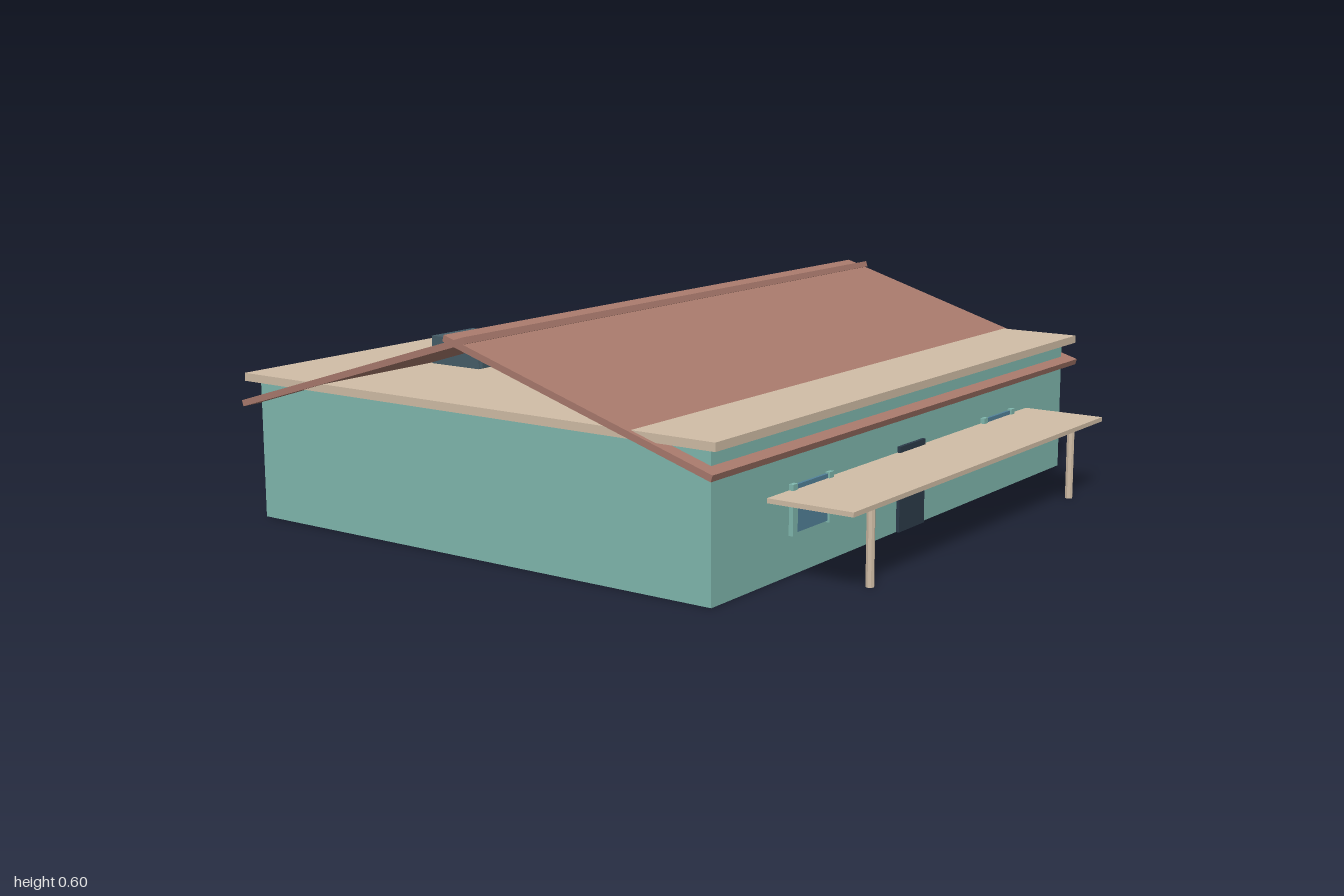
import * as THREE from 'three';

const mat = (color) => new THREE.MeshStandardMaterial({ color, flatShading: true });

export function createModel() {
  const house = new THREE.Group();
  house.name = 'house';

  const wall = mat(0x80b8ae), cream = mat(0xd0bda6), tile = mat(0xa8796c);
  const dark = mat(0x2c3b4a), glass = mat(0x53829a), metal = mat(0x465d68);

  const add = (name, geometry, material, x, y, z) => {
    const mesh = new THREE.Mesh(geometry, material);
    mesh.name = name;
    mesh.position.set(x, y, z);
    house.add(mesh);
    return mesh;
  };
  // Box given by its lower and upper limits on each axis
  const box = (name, material, [x0, x1], [y0, y1], [z0, z1]) =>
    add(name, new THREE.BoxGeometry(x1 - x0, y1 - y0, z1 - z0), material,
      (x0 + x1) / 2, (y0 + y1) / 2, (z0 + z1) / 2);

  // Body and ceiling slab
  box('walls', wall, [-0.89, 0.672], [0, 0.396], [-0.957, 0.957]);
  box('ceilingSlab', cream, [-0.922, 0.705], [0.396, 0.419], [-0.987, 0.987]);

  // Two sloping roof panels that cross at the ridge
  for (const s of [-1, 1]) {
    const panel = add(s < 0 ? 'roofPanelRight' : 'roofPanelLeft',
      new THREE.BoxGeometry(0.888, 0.018, 2), tile, -0.109 + s * 0.388, 0.4625, 0);
    panel.rotation.z = -s * 0.295;
  }

  // Door
  box('door', dark, [0.67, 0.682], [0, 0.243], [-0.07, 0.07]);

  // Windows with a shutter on each side, and porch posts
  for (const s of [-1, 1]) {
    const z = s * 0.518;
    box('windowPane', glass, [0.67, 0.68], [0.112, 0.238], [z - 0.077, z + 0.077]);
    for (const t of [-1, 1]) {
      const zs = z + t * 0.087;
      box('shutter', wall, [0.67, 0.685], [0.107, 0.242], [zs - 0.011, zs + 0.011]);
    }
    add('porchPost', new THREE.CylinderGeometry(0.0115, 0.0115, 0.214, 8), cream, 0.89, 0.107, s * 0.576);
  }

  // Porch canopy
  box('porchCanopy', cream, [0.672, 0.925], [0.213, 0.226], [-0.717, 0.717]);

  // Rooftop cooling unit with side panel and round fan
  box('coolingUnit', metal, [-0.6, -0.42], [0.419, 0.5], [0.388, 0.563]);
  box('coolingUnitPanel', metal, [-0.42, -0.408], [0.423, 0.496], [0.393, 0.56]);
  add('coolingFan', new THREE.CylinderGeometry(0.057, 0.057, 0.012, 10), dark, -0.503, 0.499, 0.476);

  return house;
}
